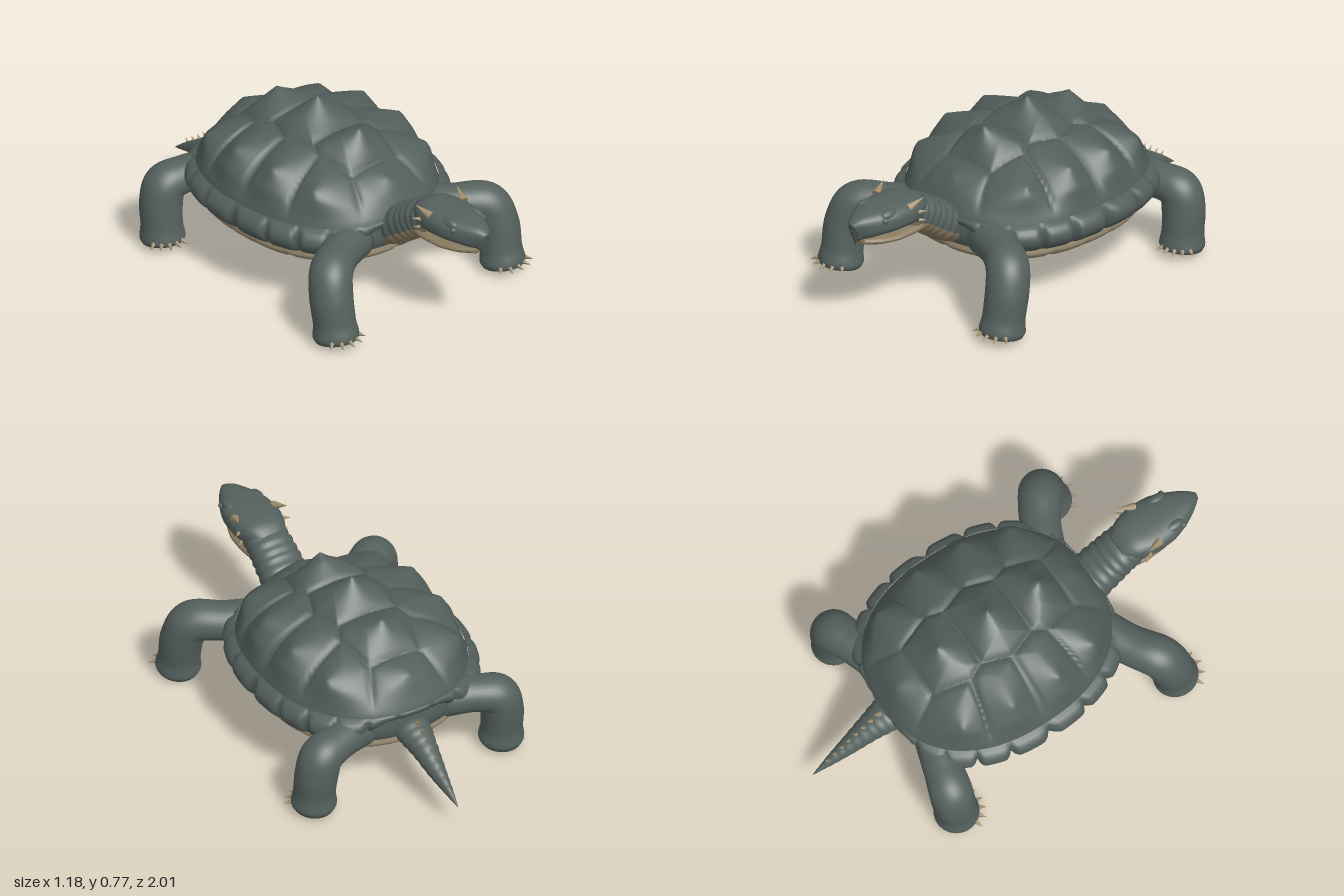
import * as THREE from 'three';
import { mergeVertices } from 'three/addons/utils/BufferGeometryUtils.js';

const mat = (name, color) => {
  const m = new THREE.MeshStandardMaterial({ color });
  m.name = name;
  return m;
};
const V = (x, y, z) => new THREE.Vector3(x, y, z);
const { smoothstep } = THREE.MathUtils;

// Smooth surface from a rule f(u, v) -> Vector3, with u and v in 0..1
function surface(nu, nv, f) {
  const pos = [], idx = [];
  for (let j = 0; j <= nv; j++) for (let i = 0; i <= nu; i++) pos.push(...f(i / nu, j / nv).toArray());
  for (let j = 0; j < nv; j++) for (let i = 0; i < nu; i++) {
    const a = j * (nu + 1) + i, b = a + 1, c = a + nu + 1, d = c + 1;
    idx.push(a, b, c, b, d, c);
  }
  const g = new THREE.BufferGeometry();
  g.setAttribute('position', new THREE.Float32BufferAttribute(pos, 3));
  g.setIndex(idx);
  const m = mergeVertices(g, 1e-5);
  m.computeVertexNormals();
  return m;
}

// Tube with rounded sections; rows are [x, y, z, sideRadius, otherRadius], power below 1 squares the section
function loft(rows, side, { from = 0, to = Math.PI * 2, wrinkle = 0, rings = 10, power = 1 } = {}) {
  const path = new THREE.CatmullRomCurve3(rows.map(r => V(r[0], r[1], r[2])));
  const size = new THREE.CatmullRomCurve3(rows.map(r => V(r[3], r[4], 0)));
  const nv = 60, bend = a => Math.sign(a) * Math.abs(a) ** power;
  return surface(40, nv, (u, v) => {
    const k = Math.round(v * nv);
    const t = Math.min(Math.max((k - 1) / (nv - 2), 0), 1);
    const p = path.getPoint(t), T = path.getTangent(t), s = size.getPoint(t);
    const N = side.clone().addScaledVector(T, -T.dot(side)).normalize();
    const B = T.clone().cross(N);
    const phi = from + (to - from) * u;
    const w = k === 0 || k === nv ? 0 : 1 + wrinkle * Math.sin(t * rings * Math.PI * 2);
    return p.addScaledVector(N, bend(Math.cos(phi)) * s.x * w).addScaledVector(B, bend(Math.sin(phi)) * s.y * w);
  });
}

// Plan outline of the shell
const CZ = -0.09, HX = 0.46, HZ = 0.55;
function rim(u) {
  const a = u * Math.PI * 2, c = Math.cos(a), s = Math.sin(a), e = 2 / 2.3;
  return { x: HX * Math.sign(c) * Math.abs(c) ** e, z: HZ * Math.sign(s) * Math.abs(s) ** e, c: Math.abs(c) };
}

// Scute centres: [x, z, height]
const scutes = [[0, 0.37, 0.035], [0, 0.18, 0.1], [0, -0.09, 0.11], [0, -0.35, 0.08], [0, -0.57, 0.055]];
for (const s of [-1, 1]) for (const [x, z] of [[0.29, 0.25], [0.34, 0.03], [0.34, -0.21], [0.29, -0.44]]) {
  scutes.push([s * x, z, 0.045]);
}

// Domed back with a low pyramid on each scute and grooves between
function carapacePoint(u, r) {
  const e = rim(u), x = e.x * r, z = CZ + e.z * r;
  const y = 0.39 + 0.26 * Math.max(0, 1 - r ** 2.4) ** 0.75;
  const near = scutes.map(s => [Math.hypot(x - s[0], z - s[1]), s]).sort((a, b) => a[0] - b[0]);
  const [d1, s] = near[0], d2 = near[1][0];
  const t = (d2 - d1) / (d2 + d1), fade = 1 - smoothstep(r, 0.88, 1);
  const lift = (s[2] * t - 0.007 * Math.exp(-((t / 0.07) ** 2))) * fade;
  return V(x + Math.sign(s[0]) * lift * 0.8, y + lift, z);
}

// Scalloped edge plates, deepest along the flanks
function marginPoint(u, v) {
  const e = rim(u), w = smoothstep(e.c, 0.2, 0.65), f = (u * 22) % 1;
  const puff = Math.min(1, Math.sin(f * Math.PI) * 1.8) ** 0.6;
  const out = Math.sin(v * Math.PI) ** 0.6 * (0.012 + 0.05 * w) * (0.35 + 0.65 * puff);
  const n = V(e.x / HX ** 2, 0, e.z / HZ ** 2).normalize();
  const drop = v * (0.04 + 0.095 * w);
  return V(e.x, 0.4 - drop, CZ + e.z).addScaledVector(n, out - 0.02 * v);
}

// Closed body of revolution on the shell outline; rows are [scale, y]
function ringBody(rows, detail = () => 0) {
  const curve = new THREE.CatmullRomCurve3(rows.map(r => V(r[0], r[1], 0)));
  return surface(120, 60, (u, v) => {
    const p = curve.getPoint(v), e = rim(u), x = e.x * p.x, z = CZ + e.z * p.x;
    return V(x, p.y + detail(x, z), z);
  });
}

export function createModel() {
  const root = new THREE.Group();
  const skin = mat('slate green skin', 0x55615e);
  const shell = mat('slate shell', 0x525e5b);
  const belly = mat('tan belly', 0x96896f);
  const tan = mat('tan throat', 0x86785e);
  const horn = mat('pale horn', 0xa08e6c);
  const add = (name, geo, material, parent = root) => {
    const m = new THREE.Mesh(geo, material);
    m.name = name;
    parent.add(m);
    return m;
  };
  const spike = (name, at, dir, len, rad, material = horn, parent = root) => {
    const m = add(name, new THREE.ConeGeometry(rad, len, 10).translate(0, len / 2 - len * 0.15, 0), material, parent);
    m.position.copy(at);
    m.quaternion.setFromUnitVectors(V(0, 1, 0), dir.clone().normalize());
  };

  // Shell and trunk
  add('carapace', surface(220, 80, carapacePoint), shell);
  add('marginPlates', surface(264, 14, marginPoint), shell);
  add('trunk', ringBody([[0, 0.42], [0.8, 0.41], [0.96, 0.39], [0.98, 0.33], [0.965, 0.28], [0.92, 0.245], [0.6, 0.215], [0, 0.2]]), skin);
  const groove = (x, z) => {
    const cell = 0.165, dz = Math.abs(((z + 5 * cell + 0.09) % cell) - cell / 2);
    const d = Math.min(Math.abs(x), Math.abs(Math.abs(x) - 0.22), dz);
    return 0.008 * Math.exp(-((d / 0.011) ** 2));
  };
  add('plastron', ringBody([[0.95, 0.262], [0.955, 0.238], [0.9, 0.21], [0.75, 0.188], [0.5, 0.176], [0.25, 0.17], [0, 0.168]], groove), belly);

  // Neck, with a tan throat
  const X = V(1, 0, 0), PI = Math.PI;
  const neck = [[0, 0.335, 0.34, 0.11, 0.085], [0, 0.352, 0.43, 0.11, 0.09], [0, 0.41, 0.53, 0.105, 0.084],
    [0, 0.46, 0.61, 0.1, 0.082], [0, 0.49, 0.69, 0.095, 0.07]];
  add('neck', loft(neck, X, { from: -0.3, to: PI + 0.3, wrinkle: 0.025, power: 0.85 }), skin);
  add('throat', loft(neck, X, { from: PI + 0.3, to: PI * 2 - 0.3, wrinkle: 0.025, power: 0.85 }), tan);

  // Head
  const head = new THREE.Group();
  head.name = 'head';
  root.add(head);
  add('skull', loft([[0, 0.49, 0.6, 0.07, 0.05], [0, 0.508, 0.66, 0.102, 0.066], [0, 0.515, 0.74, 0.118, 0.063],
    [0, 0.515, 0.82, 0.112, 0.062], [0, 0.511, 0.89, 0.088, 0.06], [0, 0.503, 0.95, 0.056, 0.056],
    [0, 0.488, 0.99, 0.022, 0.048]], X, { power: 0.78 }), skin, head);
  add('lowerJaw', loft([[0, 0.43, 0.58, 0.085, 0.04], [0, 0.427, 0.68, 0.1, 0.032], [0, 0.422, 0.78, 0.094, 0.026],
    [0, 0.424, 0.87, 0.066, 0.022], [0, 0.43, 0.94, 0.022, 0.014]], X), tan, head);
  spike('beakHook', V(0, 0.485, 0.972), V(0, -1, 0.08), 0.075, 0.028, skin, head);
  for (const s of [-1, 1]) {
    const brow = add('browRidge', new THREE.SphereGeometry(1, 20, 14), skin, head);
    brow.scale.set(0.026, 0.024, 0.05);
    brow.position.set(s * 0.07, 0.55, 0.84);
    const eye = add('eye', new THREE.SphereGeometry(0.014, 16, 12), skin, head);
    eye.position.set(s * 0.086, 0.535, 0.88);
    spike('browHorn', V(s * 0.1, 0.56, 0.735), V(s * 0.35, 0.5, -1), 0.085, 0.02, horn, head);
    spike('cheekHorn', V(s * 0.108, 0.52, 0.69), V(s, 0.2, -0.8), 0.045, 0.012, horn, head);
    spike('jawHorn', V(s * 0.103, 0.475, 0.68), V(s, 0, -0.8), 0.035, 0.01, horn, head);
  }

  // Tail with a tan underside and a row of spikes
  const tail = [[0, 0.3, -0.5, 0.08, 0.065], [0, 0.277, -0.61, 0.08, 0.068], [0, 0.24, -0.71, 0.06, 0.058],
    [0, 0.187, -0.82, 0.04, 0.042], [0, 0.145, -0.92, 0.02, 0.024], [0, 0.11, -1, 0.002, 0.003]];
  add('tailTop', loft(tail, X, { from: PI - 0.4, to: PI * 2 + 0.4, wrinkle: 0.025, rings: 14 }), skin);
  add('tailUnderside', loft(tail, X, { from: 0.4, to: PI - 0.4, wrinkle: 0.025, rings: 14 }), tan);
  for (let i = 0; i < 8; i++) {
    const t = i / 7;
    spike('tailSpike', V(0, 0.328 - 0.165 * t, -0.65 - 0.27 * t), V(0, 0.8, -0.7), 0.058 - 0.025 * t, 0.016 - 0.006 * t);
  }

  // Legs with five claws each
  const legs = {
    frontLeg: { rows: [[0.18, 0.31, 0.35, 0.09, 0.095], [0.34, 0.312, 0.422, 0.09, 0.085], [0.455, 0.298, 0.5, 0.096, 0.092],
      [0.483, 0.21, 0.533, 0.096, 0.095], [0.485, 0.1, 0.555, 0.094, 0.092], [0.485, 0.04, 0.565, 0.102, 0.1],
      [0.485, 0.016, 0.568, 0.092, 0.09], [0.485, 0.004, 0.57, 0.06, 0.06]], turn: 0.05, fan: 0.43 },
    hindLeg: { rows: [[0.18, 0.3, -0.5, 0.09, 0.09], [0.35, 0.302, -0.56, 0.088, 0.08], [0.44, 0.275, -0.585, 0.095, 0.092],
      [0.462, 0.2, -0.585, 0.095, 0.095], [0.468, 0.1, -0.575, 0.093, 0.092], [0.468, 0.04, -0.57, 0.1, 0.1],
      [0.468, 0.016, -0.568, 0.09, 0.09], [0.468, 0.004, -0.566, 0.06, 0.06]], turn: 0.42, fan: 0.36 },
  };
  for (const [name, { rows, turn, fan }] of Object.entries(legs)) for (const s of [-1, 1]) {
    const leg = new THREE.Group();
    leg.name = (s > 0 ? 'left ' : 'right ') + name;
    root.add(leg);
    const side = V(rows[2][2] - rows[0][2], 0, -s * (rows[2][0] - rows[0][0])).normalize();
    add('limb', loft(rows.map(r => [s * r[0], ...r.slice(1)]), side), skin, leg);
    const foot = rows[5];
    for (let i = -2; i <= 2; i++) {
      const a = turn + i * fan, dir = V(s * Math.sin(a), 0, Math.cos(a));
      const at = V(s * foot[0], 0.045, foot[2]).addScaledVector(dir, 0.088);
      spike('claw', at, dir.clone().setY(-0.35), 0.056, 0.015, horn, leg);
    }
  }
  return root;
}
